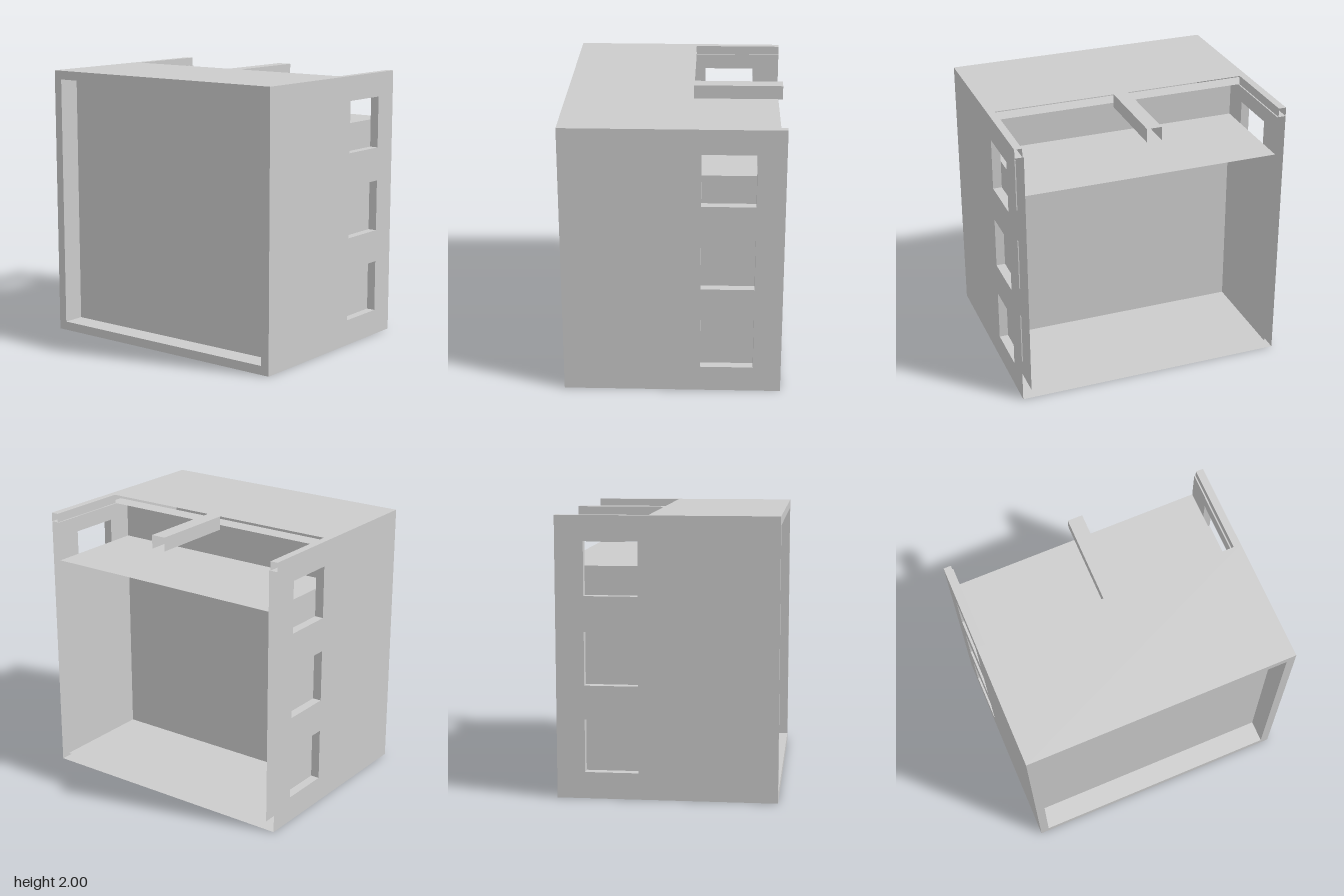
import * as THREE from 'three';

const material = new THREE.MeshStandardMaterial({ color: 0xcccccc, flatShading: true, side: THREE.DoubleSide });

const BACK = -0.78, FRONT = 0.78;   // depth of the cabinet
const IN = 0.935, SKIN = 0.065;     // inner skin offset and wall thickness
const MID = 0, PANEL = 0.615;       // liner back panel and recessed front panel
const SHELF = 1.645, CEIL = 1.935, NOTCH = -0.13;
const HOLE_Z = [-0.58, -0.2];

// In-plane directions of a sheet, by the axis it stands across
const bases = {
  x: [[0, 0, 1], [0, 1, 0], [-1, 0, 0]],
  y: [[1, 0, 0], [0, 0, 1], [0, -1, 0]],
  z: [[1, 0, 0], [0, 1, 0], [0, 0, 1]],
};

function rectangle(path, [u0, u1], [v0, v1]) {
  path.moveTo(u0, v0);
  path.lineTo(u1, v0);
  path.lineTo(u1, v1);
  path.lineTo(u0, v1);
  path.closePath();
  return path;
}

// Thin rectangular sheet across an axis, with optional rectangular holes.
// Ranges: x sheets take z, y; y sheets take x, z; z sheets take x, y.
function sheet(parent, name, axis, at, u, v, holes = []) {
  const shape = rectangle(new THREE.Shape(), u, v);
  for (const [hu, hv] of holes) shape.holes.push(rectangle(new THREE.Path(), hu, hv));
  const geometry = new THREE.ShapeGeometry(shape);
  geometry.applyMatrix4(new THREE.Matrix4().makeBasis(...bases[axis].map((b) => new THREE.Vector3(...b))));
  const mesh = new THREE.Mesh(geometry, material);
  mesh.position[axis] = at;
  mesh.name = name;
  parent.add(mesh);
}

function section(parent, name) {
  const group = new THREE.Group();
  group.name = name;
  parent.add(group);
  return group;
}

export function createModel() {
  const model = new THREE.Group();
  model.name = 'cabinet';
  const depth = [BACK, FRONT], linerDepth = [BACK, MID], inner = [-IN, IN];

  // Side walls: outer skin with three windows, inner skin, window reveals
  const windowsY = [[0.19, 0.57], [0.81, 1.19], [1.44, 1.82]];
  for (const side of [-1, 1]) {
    const wall = section(model, side > 0 ? 'leftWall' : 'rightWall');
    const gap = [side * IN, side * 1].sort((a, b) => a - b);
    sheet(wall, 'outerSkin', 'x', side, depth, [0, 2], windowsY.map((y) => [HOLE_Z, y]));
    sheet(wall, 'innerSkin', 'x', side * IN, linerDepth, [SKIN, CEIL], [[HOLE_Z, [SHELF, 1.82]]]);
    for (const y of windowsY) {
      for (const edge of y) sheet(wall, 'windowSill', 'y', edge, gap, HOLE_Z);
      for (const edge of HOLE_Z) sheet(wall, 'windowJamb', 'z', edge, gap, y);
    }
    // Hollow rail along the top of the wall
    const rail = [side * 0.945, side * 1].sort((a, b) => a - b);
    sheet(wall, 'railTop', 'y', 2, rail, [BACK, NOTCH]);
    sheet(wall, 'railBottom', 'y', CEIL, gap, [BACK, NOTCH]);
    sheet(wall, 'railSide', 'x', side * 0.945, [BACK, NOTCH], [CEIL, 2]);
  }

  // Floor: outer skin with three openings, inner skin, reveals
  const floor = section(model, 'floor');
  const openingsX = [-0.665, 0, 0.665].map((c) => [c - 0.19, c + 0.19]);
  sheet(floor, 'outerSkin', 'y', 0, [-1, 1], depth, openingsX.map((x) => [x, HOLE_Z]));
  sheet(floor, 'innerSkin', 'y', SKIN, inner, linerDepth);
  for (const x of openingsX) {
    for (const edge of x) sheet(floor, 'openingSide', 'x', edge, HOLE_Z, [0, SKIN]);
    for (const edge of HOLE_Z) sheet(floor, 'openingEnd', 'z', edge, x, [0, SKIN]);
  }

  // Hollow top, ending at the rear cut-outs
  const top = section(model, 'top');
  sheet(top, 'topSkin', 'y', 2, [-1, 1], [NOTCH, FRONT]);
  sheet(top, 'lowerSkin', 'y', CEIL, [-1, 1], [NOTCH, MID]);

  // Hollow bar between the two cut-outs
  const bar = section(model, 'centreBar');
  const barX = [-0.055, 0.055];
  for (const y of [1.9, 2]) sheet(bar, 'barFace', 'y', y, barX, [BACK, NOTCH]);
  for (const x of barX) sheet(bar, 'barSide', 'x', x, [BACK, NOTCH], [1.9, 2]);

  // Interior: rear panel and shelf
  sheet(model, 'interiorPanel', 'z', MID, inner, [SKIN, CEIL]);
  sheet(model, 'shelf', 'y', SHELF, inner, linerDepth);

  // Front: frame around a recessed panel
  const front = section(model, 'front');
  const opening = [SKIN, CEIL], recess = [PANEL, FRONT];
  sheet(front, 'frame', 'z', FRONT, [-1, 1], [0, 2], [[inner, opening]]);
  sheet(front, 'recessPanel', 'z', PANEL, inner, opening);
  for (const x of inner) sheet(front, 'recessSide', 'x', x, recess, opening);
  for (const y of opening) sheet(front, 'recessEdge', 'y', y, inner, recess);

  return model;
}
